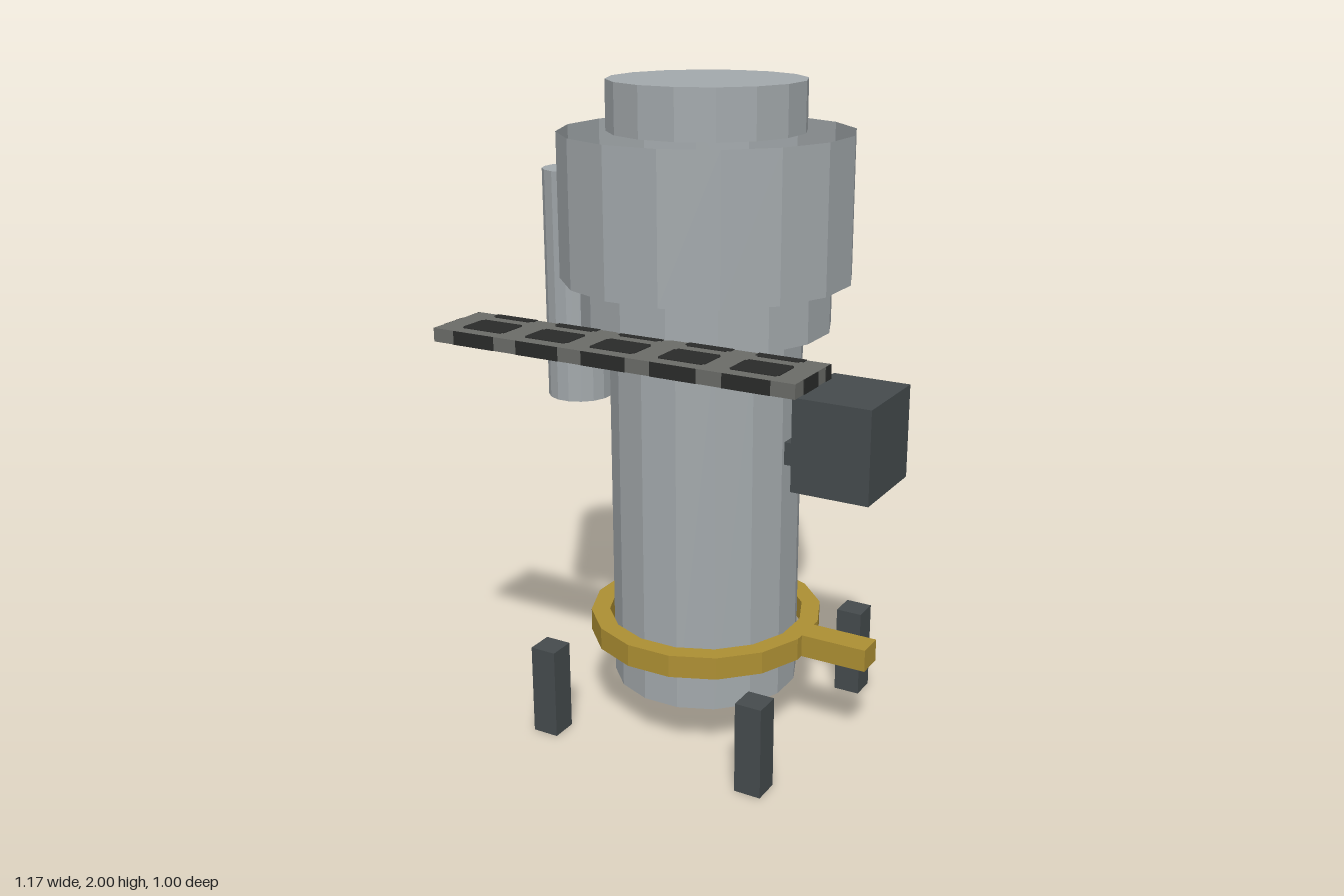
import * as THREE from 'three';

export function createModel() {
  const model = new THREE.Group();
  const mat = (name, color, side = THREE.FrontSide) => {
    const m = new THREE.MeshStandardMaterial({ color, flatShading: true, side });
    m.name = name;
    return m;
  };
  const steel = mat('steel grey', 0xa3a9ac, THREE.DoubleSide);
  const dark = mat('dark gunmetal', 0x454b4d);
  const brass = mat('brass', 0xad8f33);
  const railGrey = mat('rail grey', 0x6b6c68);
  const slotBlack = mat('slot black', 0x2a2b2a);

  const add = (name, geometry, material, parent = model) => {
    const mesh = new THREE.Mesh(geometry, material);
    mesh.name = name;
    parent.add(mesh);
    return mesh;
  };
  // Box given by its extents along each axis
  const box = (name, material, [x0, x1], [y0, y1], [z0, z1], parent) => {
    const g = new THREE.BoxGeometry(x1 - x0, y1 - y0, z1 - z0);
    g.translate((x0 + x1) / 2, (y0 + y1) / 2, (z0 + z1) / 2);
    return add(name, g, material, parent);
  };

  const CX = -0.015, CZ = -0.073, SIDES = 16, TURN = Math.PI / SIDES;

  // Open sixteen-sided tube, optionally closed by a disc on top
  const tube = (name, radius, y0, y1, x = CX, lid = false) => {
    const group = new THREE.Group();
    group.name = name;
    const wall = new THREE.CylinderGeometry(radius, radius, y1 - y0, SIDES, 1, true);
    wall.rotateY(TURN).translate(x, (y0 + y1) / 2, CZ);
    add(name + 'Wall', wall, steel, group);
    if (lid) {
      const disc = new THREE.CircleGeometry(radius, SIDES);
      disc.rotateX(-Math.PI / 2).rotateY(TURN).translate(x, y1, CZ);
      add(name + 'Lid', disc, steel, group);
    }
    model.add(group);
  };
  tube('mainBody', 0.291, 0.15, 1.29);
  tube('neckCollar', 0.374, 1.285, 1.43);
  tube('upperCollar', 0.433, 1.43, 1.855);
  tube('topCap', 0.291, 1.855, 2, CX, true);
  tube('sideCanister', 0.102, 1.0, 1.715, -0.473, true);

  // Brass ring with its handle
  const polygon = (target, radius) => {
    const pts = [];
    for (let i = 0; i < SIDES; i++) {
      const a = TURN + (i / SIDES) * Math.PI * 2;
      pts.push(new THREE.Vector2(radius * Math.cos(a), radius * Math.sin(a)));
    }
    return target.setFromPoints(pts);
  };
  const ringShape = polygon(new THREE.Shape(), 0.364);
  ringShape.holes.push(polygon(new THREE.Path(), 0.306));
  const ring = new THREE.ExtrudeGeometry(ringShape, { depth: 0.07, bevelEnabled: false });
  ring.rotateX(-Math.PI / 2).translate(CX, 0.29, CZ);
  add('adjusterRing', ring, brass);
  box('ringHandle', brass, [0.325, 0.55], [0.29, 0.36], [-0.115, -0.03]);

  // Side box and its connecting arm
  box('sideBox', dark, [0.34, 0.583], [0.86, 1.145], [-0.215, 0.07]);
  box('sideBoxArm', dark, [0.265, 0.34], [0.9, 0.97], [-0.115, -0.03]);

  // Four separate legs
  for (const x of [-0.414, 0.3]) {
    for (const z of [-0.473, 0.24]) {
      box('leg', dark, [x, x + 0.084], [0, 0.287], [z, z + 0.084]);
    }
  }

  // Slotted rail
  const rail = new THREE.Group();
  rail.name = 'rail';
  model.add(rail);
  const X = [-0.584, 0.552], Y = [1.287, 1.327], Z = [0.285, 0.497], T = 0.002;
  box('railBar', railGrey, X, Y, Z, rail);

  // Painted slots on every face of the rail
  for (let i = 0; i < 5; i++) {
    const c = -0.444 + i * 0.2145;
    const across = (h) => [c - h, c + h];
    for (const y of [[Y[1], Y[1] + T], [Y[0] - T, Y[0]]]) {
      box('slot', slotBlack, across(0.065), y, [0.355, 0.459], rail);
      box('slotSides', slotBlack, across(0.071), y, [0.365, 0.45], rail);
      box('edgeSlot', slotBlack, across(0.07), y, [Z[0], 0.307], rail);
      box('edgeSlotInner', slotBlack, across(0.06), y, [0.307, 0.317], rail);
    }
    for (const z of [[Z[1], Z[1] + T], [Z[0] - T, Z[0]]]) {
      box('faceSlot', slotBlack, across(0.069), Y, z, rail);
    }
  }
  for (const x of [[X[0] - T, X[0]], [X[1], X[1] + T]]) {
    box('endSlot', slotBlack, x, Y, [0.365, 0.449], rail);
    box('endEdgeSlot', slotBlack, x, Y, [Z[0], 0.317], rail);
  }

  return model;
}
